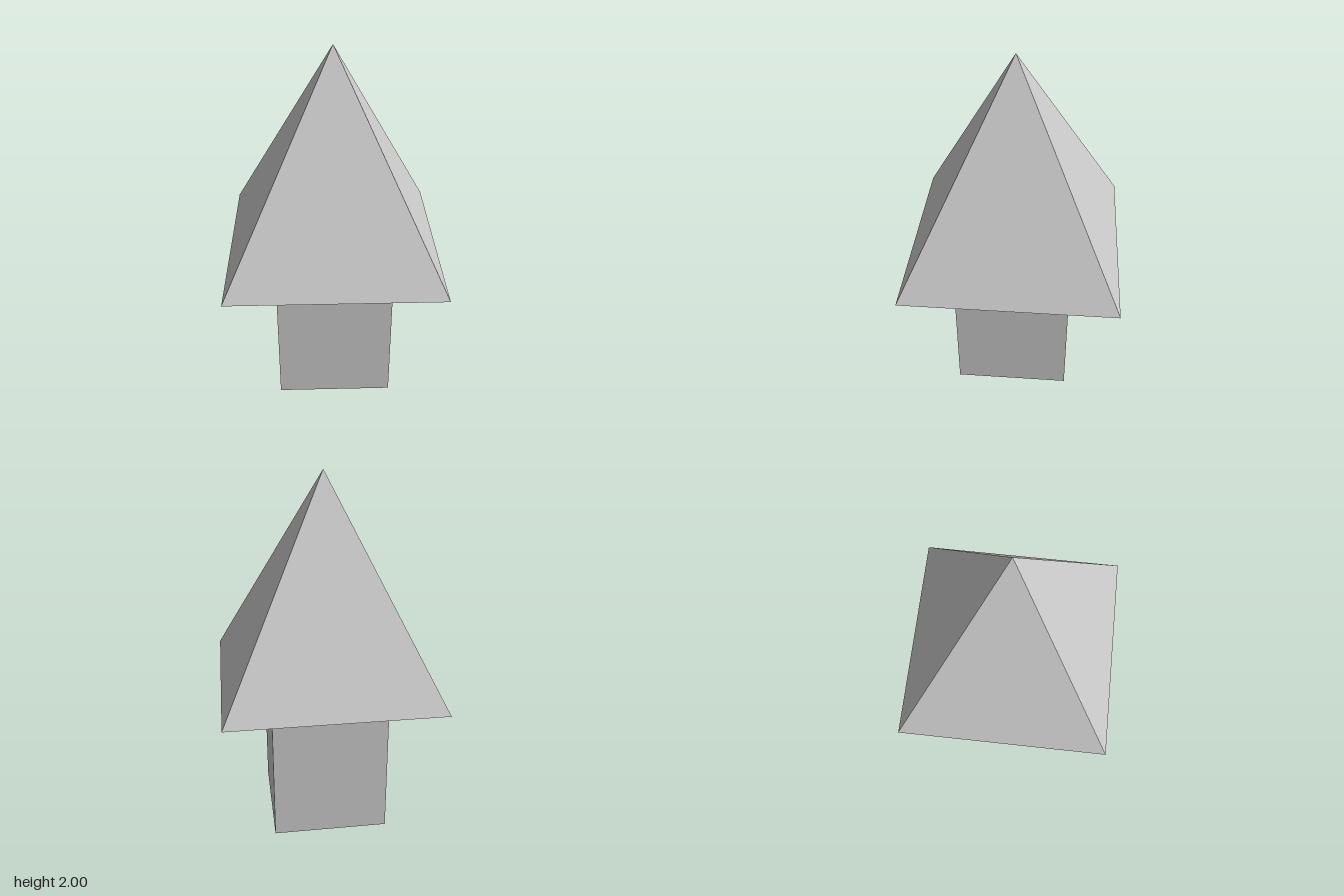
import * as THREE from 'three';

const BODY_WIDTH = 0.64;
const ROOF_WIDTH = 1.166;
const EAVES_Y = 0.838;
const TOP_Y = 2;

export function createModel() {
  const model = new THREE.Group();
  const material = new THREE.MeshStandardMaterial({ color: 0xcccccc, flatShading: true });

  // Square body standing on the ground
  const body = new THREE.Mesh(new THREE.BoxGeometry(BODY_WIDTH, EAVES_Y, BODY_WIDTH), material);
  body.name = 'body';
  body.position.y = EAVES_Y / 2;

  // Pyramid roof: a four-sided cone turned so its sides face the axes
  const roofHeight = TOP_Y - EAVES_Y;
  const roofGeometry = new THREE.ConeGeometry(ROOF_WIDTH / Math.SQRT2, roofHeight, 4);
  roofGeometry.rotateY(Math.PI / 4);
  const roof = new THREE.Mesh(roofGeometry, material);
  roof.name = 'roof';
  roof.position.y = EAVES_Y + roofHeight / 2;

  model.add(body, roof);
  return model;
}
